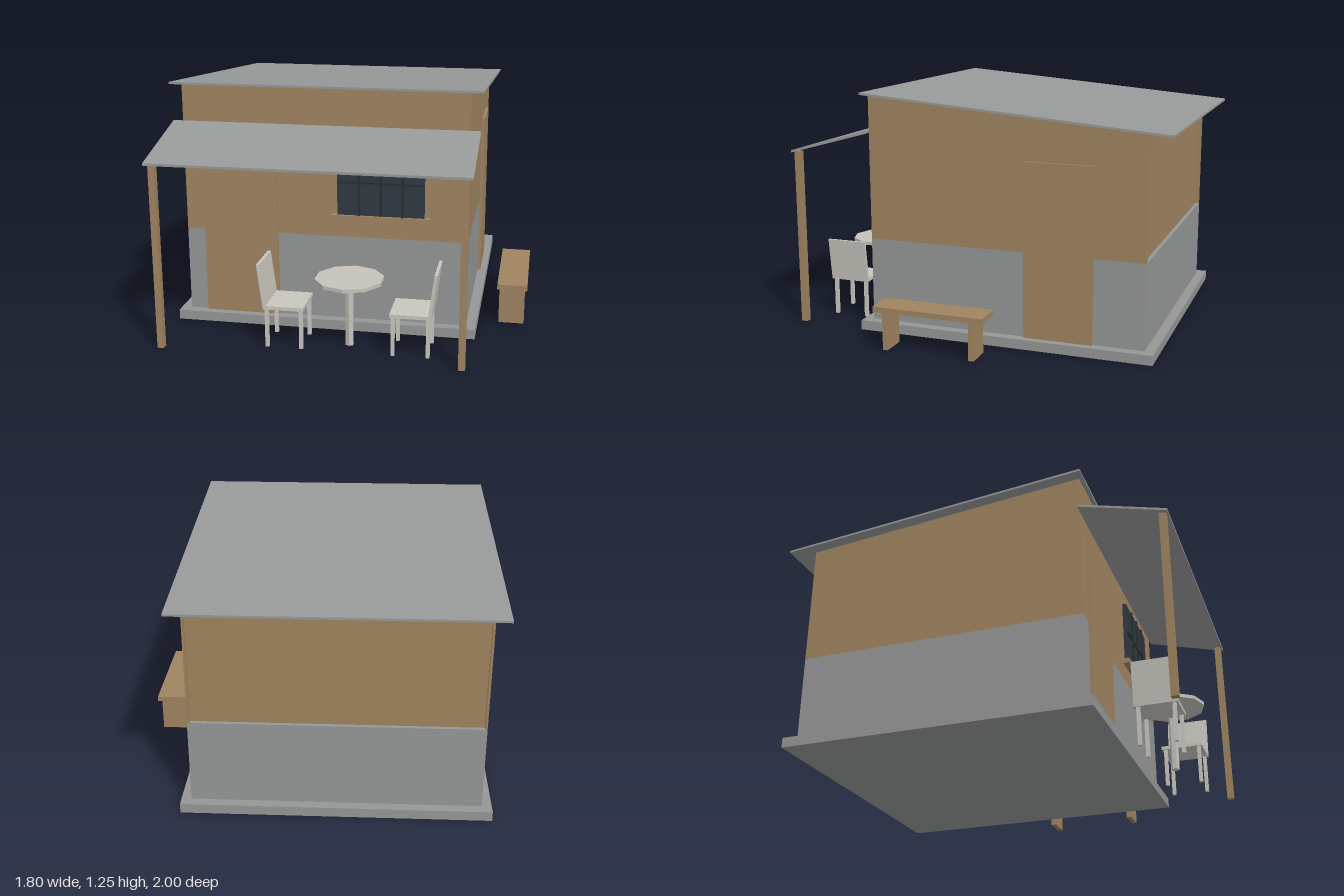
import * as THREE from 'three';

export function createModel() {
  const model = new THREE.Group();
  model.name = 'smallHouse';

  const mat = (name, color, extra = {}) => {
    const m = new THREE.MeshStandardMaterial({ color, ...extra });
    m.name = name;
    return m;
  };
  const brown = mat('brownWood', 0xa08460);
  const cement = mat('cementGrey', 0x959796);
  const roofing = mat('roofGrey', 0x979998);
  const plastic = mat('paleFurniture', 0xc8c6be);
  const tableTone = mat('paleTable', 0xc4c2ba, { flatShading: true });
  const glass = mat('darkGlass', 0x323942);
  const bars = mat('windowBars', 0x2a2e34);

  const add = (name, geometry, material, parent = model) => {
    const mesh = new THREE.Mesh(geometry, material);
    mesh.name = name;
    parent.add(mesh);
    return mesh;
  };
  // Box given by its limits on each axis
  const box = (name, [x0, x1], [y0, y1], [z0, z1], material, parent) => {
    const g = new THREE.BoxGeometry(x1 - x0, y1 - y0, z1 - z0);
    g.translate((x0 + x1) / 2, (y0 + y1) / 2, (z0 + z1) / 2);
    return add(name, g, material, parent);
  };
  const extrude = (points, depth) => new THREE.ExtrudeGeometry(
    new THREE.Shape(points.map(([a, b]) => new THREE.Vector2(a, b))),
    { depth, bevelEnabled: false });
  // Side profile in (z, y), running from x0 to x1
  const prism = (name, points, [x0, x1], material) =>
    add(name, extrude(points, x1 - x0).rotateY(-Math.PI / 2).translate(x1, 0, 0), material);

  // Underside of the sloping main roof
  const roofY = z => 1.235 - (0.59 - z) * 0.135 / 1.59;
  const front = 0.57, back = -0.88, left = -0.84, right = 0.6, band = 0.485;

  // Base and two-tone walls
  box('foundation', [-0.89, 0.65], [0, 0.05], [-0.93, 0.62], cement);
  box('lowerWalls', [left, right], [0.05, band], [back, front], cement);
  const wall = zBack => [[zBack, band], [front, band], [front, roofY(front)], [zBack, roofY(zBack)]];
  const edge = 0.012;
  prism('upperWalls', wall(back + 0.02), [left + edge, right - edge], brown);
  prism('upperSideWall', wall(back), [left, left + edge], brown);
  prism('upperSideWall', wall(back), [right - edge, right], brown);

  // Roof and porch awning
  prism('roof', [[-1, 1.1], [0.59, 1.235], [0.59, 1.246], [-1, 1.111]], [-0.9, 0.66], roofing);
  prism('awning', [[0.57, 1.037], [1, 0.919], [1, 0.931], [0.57, 1.05]], [-0.89, 0.65], roofing);
  for (const x of [-0.87, 0.6]) box('porchPost', [x, x + 0.032], [0, 0.925], [0.956, 0.99], brown);

  // Doors
  box('frontDoor', [-0.745, -0.36], [0.05, 0.965], [front, front + 0.013], brown);
  box('sideDoor', [right, right + 0.015], [0.05, 0.94], [-0.62, -0.265], brown);

  // Barred window with sill
  const win = new THREE.Group();
  win.name = 'window';
  model.add(win);
  box('windowGlass', [-0.05, 0.385], [0.605, 0.945], [front, 0.59], glass, win);
  for (const x of [0.06, 0.168, 0.277])
    box('windowBar', [x - 0.006, x + 0.006], [0.605, 0.945], [0.59, 0.599], bars, win);
  box('windowCrossBar', [-0.05, 0.385], [0.767, 0.778], [0.59, 0.597], bars, win);
  box('windowSill', [-0.08, 0.412], [0.577, 0.605], [front, 0.602], brown, win);

  // Round table
  const table = new THREE.Group();
  table.name = 'table';
  table.position.set(0.048, 0, 0.785);
  model.add(table);
  add('tableTop', new THREE.CylinderGeometry(0.17, 0.17, 0.018, 10).translate(0, 0.341, 0), tableTone, table);
  add('tableLeg', new THREE.CylinderGeometry(0.021, 0.021, 0.333, 6).translate(0, 0.1665, 0), tableTone, table);

  // Two chairs facing the table; the second is turned half round
  for (const turn of [0, Math.PI]) {
    const chair = new THREE.Group();
    chair.name = 'chair';
    chair.position.set(0.05, 0, 0.785);
    chair.rotation.y = turn;
    model.add(chair);
    box('chairSeat', [-0.41, -0.21], [0.198, 0.216], [-0.108, 0.108], plastic, chair);
    for (const x of [-0.404, -0.234])
      for (const z of [-0.098, 0.08])
        box('chairLeg', [x, x + 0.018], [0, 0.2], [z, z + 0.018], plastic, chair);
    const rest = [[-0.41, 0.2], [-0.394, 0.2], [-0.423, 0.425], [-0.438, 0.425]];
    add('chairBack', extrude(rest, 0.216).translate(0, 0, -0.108), plastic, chair);
  }

  // Bench beside the house
  const bench = new THREE.Group();
  bench.name = 'bench';
  model.add(bench);
  box('benchTop', [0.745, 0.897], [0.196, 0.223], [-0.157, 0.422], brown, bench);
  for (const z of [-0.108, 0.349])
    box('benchLeg', [0.755, 0.885], [0, 0.196], [z, z + 0.027], brown, bench);

  return model;
}
